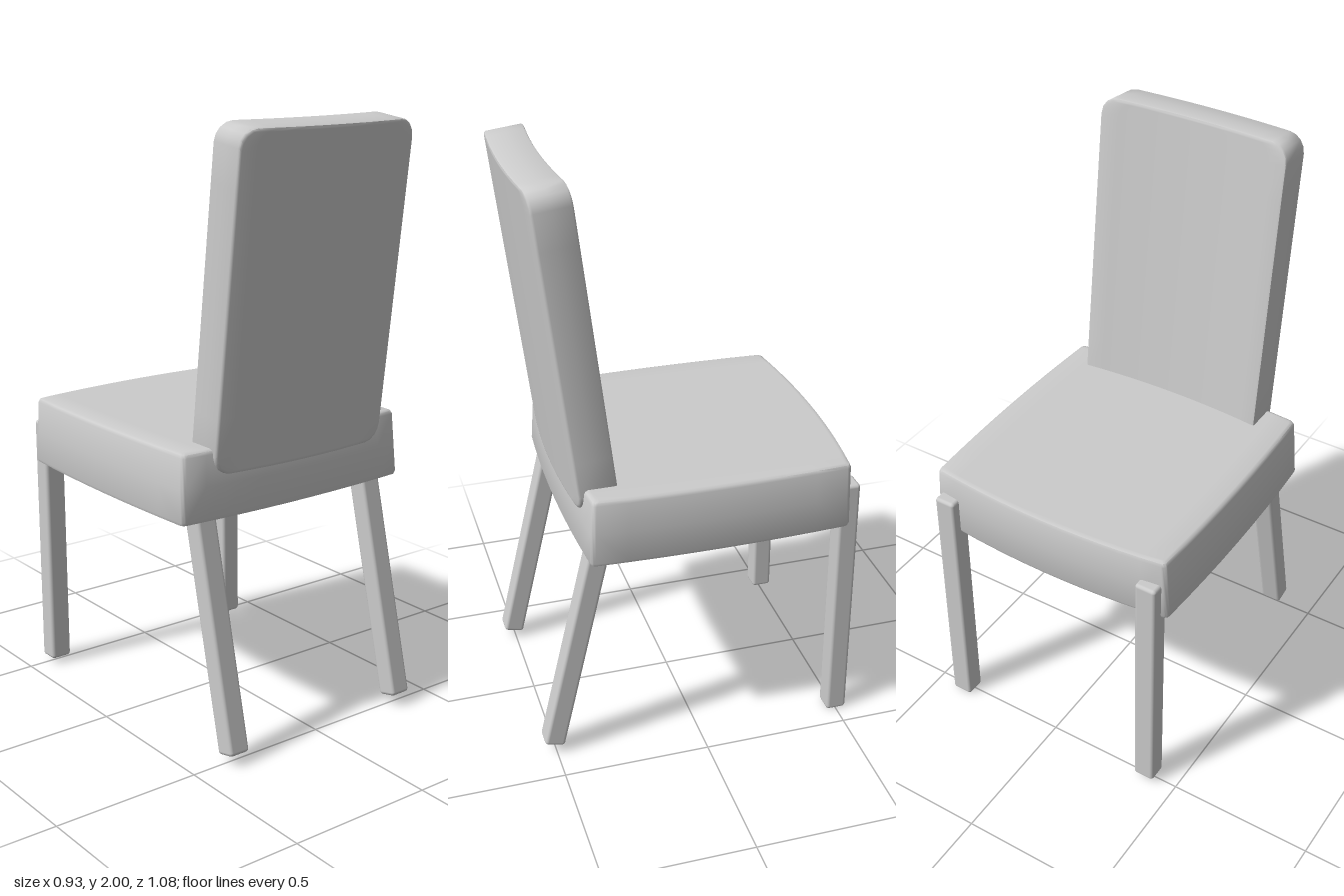
import * as THREE from 'three';
import { toCreasedNormals } from 'three/addons/utils/BufferGeometryUtils.js';
import { RoundedBoxGeometry } from 'three/addons/geometries/RoundedBoxGeometry.js';

const material = new THREE.MeshStandardMaterial({ color: 0xcccccc });

// Padded slab in the xy plane, thickness along z: half sizes w, h, d,
// edge rounding b, corner radius r. bend(p, u, v, t) adds the bulges.
function cushion({ w, h, d, b, r, bend }) {
  const nx = 12, ny = 16, nz = 6, arc = 4;
  const geo = new THREE.BoxGeometry(2, 2, 2, nx, ny, nz);
  const pos = geo.attributes.position;
  const p = new THREE.Vector3();
  for (let i = 0; i < pos.count; i++) {
    p.fromBufferAttribute(pos, i);
    const u = p.x;
    // thickness: last two rows on each side form the rounded edge
    const k = Math.round(Math.abs(p.z) * nz / 2);
    const e = (Math.max(0, k - 1) * Math.PI) / 4;
    const z = Math.sign(p.z) * (k === 0 ? 0 : d - b + b * Math.sin(e));
    const inset = b * (1 - Math.cos(e));
    // height: last rows on each end follow the corner arc
    const j = Math.round((1 - Math.abs(p.y)) * ny / 2);
    const a = (Math.min(j, arc) / arc) * Math.PI / 2;
    const halfW = w - inset - r + r * Math.sin(a);
    const side = h - inset - r;
    const y = j <= arc ? side + r * Math.cos(a) : side * (1 - (j - arc) / (ny / 2 - arc));
    p.set(u * halfW, Math.sign(p.y) * y, z);
    bend(p, p.x / w, p.y / h, p.z / d);
    pos.setXYZ(i, p.x, p.y, p.z);
  }
  geo.deleteAttribute('uv');
  return toCreasedNormals(geo, 0.75);
}

function add(group, name, geometry) {
  const mesh = new THREE.Mesh(geometry, material);
  mesh.name = name;
  group.add(mesh);
  return mesh;
}

// Square leg running between two points
function leg(group, name, top, foot) {
  const a = new THREE.Vector3(...top), c = new THREE.Vector3(...foot);
  const axis = a.clone().sub(c);
  const mesh = add(group, name, new RoundedBoxGeometry(0.076, axis.length(), 0.071, 2, 0.012));
  mesh.position.copy(a).add(c).multiplyScalar(0.5);
  mesh.quaternion.setFromUnitVectors(new THREE.Vector3(0, 1, 0), axis.normalize());
}

export function createModel() {
  const chair = new THREE.Group();
  chair.name = 'chair';

  // Seat: bowed edges, slightly narrower at the top
  const seat = add(chair, 'seat', cushion({
    w: 0.452, h: 0.439, d: 0.115, b: 0.014, r: 0.014,
    bend: (p, u, v, t) => {
      const taper = 1 - 0.015 * (t + 1);
      p.x = (p.x + 0.014 * u * (1 - v * v)) * taper;
      p.y = (p.y + (v > 0 ? 0.032 : 0.02) * v * (1 - u * u)) * (v > 0 ? 1 : taper);
    },
  }));
  seat.rotation.x = -Math.PI / 2;
  seat.position.set(0, 0.885, -0.058);

  // Backrest: rounded corners, bowed across its width, leaning outwards
  const back = add(chair, 'backrest', cushion({
    w: 0.343, h: 0.54, d: 0.065, b: 0.008, r: 0.06,
    bend: (p, u) => { p.z += 0.01 - 0.02 * u * u; },
  }));
  back.rotation.x = 0.12;
  back.position.set(0.012, 1.456, 0.395);

  // Legs: upright under the seat's open edge, splayed under the backrest
  leg(chair, 'uprightLegRight', [-0.391, 0.91, -0.503], [-0.389, 0.018, -0.5]);
  leg(chair, 'uprightLegLeft', [0.389, 0.91, -0.505], [0.392, 0, -0.501]);
  leg(chair, 'splayedLegRight', [-0.348, 0.87, 0.311], [-0.348, 0.03, 0.508]);
  leg(chair, 'splayedLegLeft', [0.34, 0.87, 0.311], [0.349, 0.035, 0.508]);

  return chair;
}
